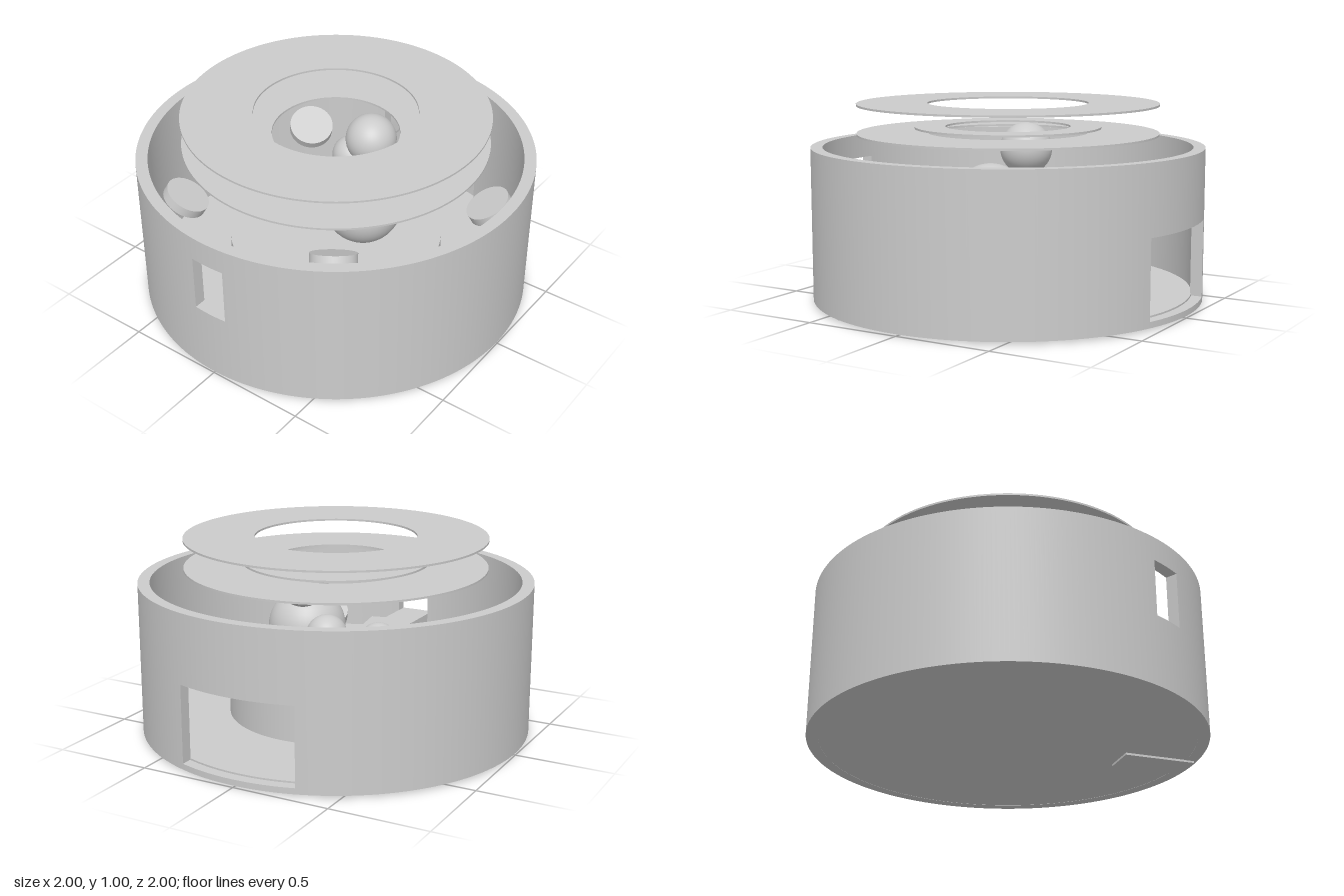
import * as THREE from 'three';
import { toCreasedNormals } from 'three/addons/utils/BufferGeometryUtils.js';

export function createModel() {
  const model = new THREE.Group();
  const mat = new THREE.MeshStandardMaterial({ color: 0xcccccc });

  function add(name, geo, x = 0, y = 0, z = 0) {
    const mesh = new THREE.Mesh(geo, mat);
    mesh.name = name;
    mesh.position.set(x, y, z);
    model.add(mesh);
    return mesh;
  }

  // Extrudes a plan shape (x, z) downwards from y1 to y0
  function plan(name, shape, y0, y1) {
    const geo = new THREE.ExtrudeGeometry(shape, { depth: y1 - y0, bevelEnabled: false, curveSegments: 64 });
    geo.rotateX(Math.PI / 2);
    add(name, toCreasedNormals(geo, 0.5), 0, y1, 0);
  }

  // Curved wall piece; its ends are angles that depend on the radius,
  // so the window jambs stay parallel
  function wall(name, from, to, y0, y1) {
    const R = 1, r = 0.94;
    const shape = new THREE.Shape();
    shape.absarc(0, 0, R, from(R), to(R), false);
    shape.absarc(0, 0, r, to(r), from(r), true);
    shape.closePath();
    plan(name, shape, y0, y1);
  }

  function ring(name, outer, inner, y0, y1) {
    const shape = new THREE.Shape().absarc(0, 0, outer, 0, Math.PI * 2, false);
    shape.holes.push(new THREE.Path().absarc(0, 0, inner, 0, Math.PI * 2, true));
    plan(name, shape, y0, y1);
  }

  // Drum wall with a large window at +x and a small one at -x
  const bottom = 0.01, top = 0.785;
  const bigFront = R => Math.asin(0.31 / R);
  const bigBack = R => -Math.asin(0.305 / R);
  const smallFront = R => Math.PI - Math.asin(0.09 / R);
  const smallBack = R => Math.PI + Math.asin(0.09 / R);
  wall('frontWall', bigFront, smallFront, bottom, top);
  wall('backWall', smallBack, R => 2 * Math.PI + bigBack(R), bottom, top);
  wall('largeWindowSill', bigBack, bigFront, bottom, 0.04);
  wall('largeWindowLintel', bigBack, bigFront, 0.435, top);
  wall('smallWindowSill', smallFront, smallBack, bottom, 0.37);
  wall('smallWindowLintel', smallFront, smallBack, 0.66, top);

  // Floor and round central platform
  add('floor', new THREE.CylinderGeometry(0.945, 0.945, 0.038, 96), 0, 0.03, 0);
  add('platform', new THREE.CylinderGeometry(0.55, 0.55, 0.19, 96), 0, 0.175, 0);

  // Curved stair from the small window down to the floor
  for (let i = 0; i < 7; i++) {
    const a = THREE.MathUtils.degToRad(i * 10);
    const y = 0.34 - i * 0.0517;
    const step = add('stairStep', new THREE.BoxGeometry(0.38, 0.06, 0.18),
      -0.79 * Math.cos(a), y, 0.79 * Math.sin(a));
    step.rotation.y = a;
  }

  // Floating ring canopies
  ring('upperRing', 0.77, 0.41, 0.99, 1.0);
  ring('middleRing', 0.475, 0.32, 0.87, 0.88);
  ring('lowerRing', 0.77, 0.41, 0.84, 0.85);

  // Floating spheres: x, y, z, radius
  const spheres = [
    [0, 0.505, 0.17, 0.2],
    [-0.07, 0.45, -0.21, 0.1],
    [0.165, 0.785, 0.1, 0.13],
    [0.27, 0.557, -0.095, 0.103],
  ];
  for (const [x, y, z, r] of spheres) add('sphere', new THREE.SphereGeometry(r, 40, 24), x, y, z);

  // Tilted discs leaning towards the centre
  const discs = [[-0.39, 0.4, -0.69], [0.55, 0.4, -0.58], [0.49, 0.4, 0.63], [-0.4, 0.46, 0.28]];
  const up = new THREE.Vector3(0, 1, 0);
  for (const [x, y, z] of discs) {
    const disc = add('tiltedDisc', new THREE.CylinderGeometry(0.12, 0.12, 0.05, 40), x, y, z);
    const lean = new THREE.Vector3(-x, 0, -z).setLength(0.5).setY(0.87).normalize();
    disc.quaternion.setFromUnitVectors(up, lean);
  }

  return model;
}
